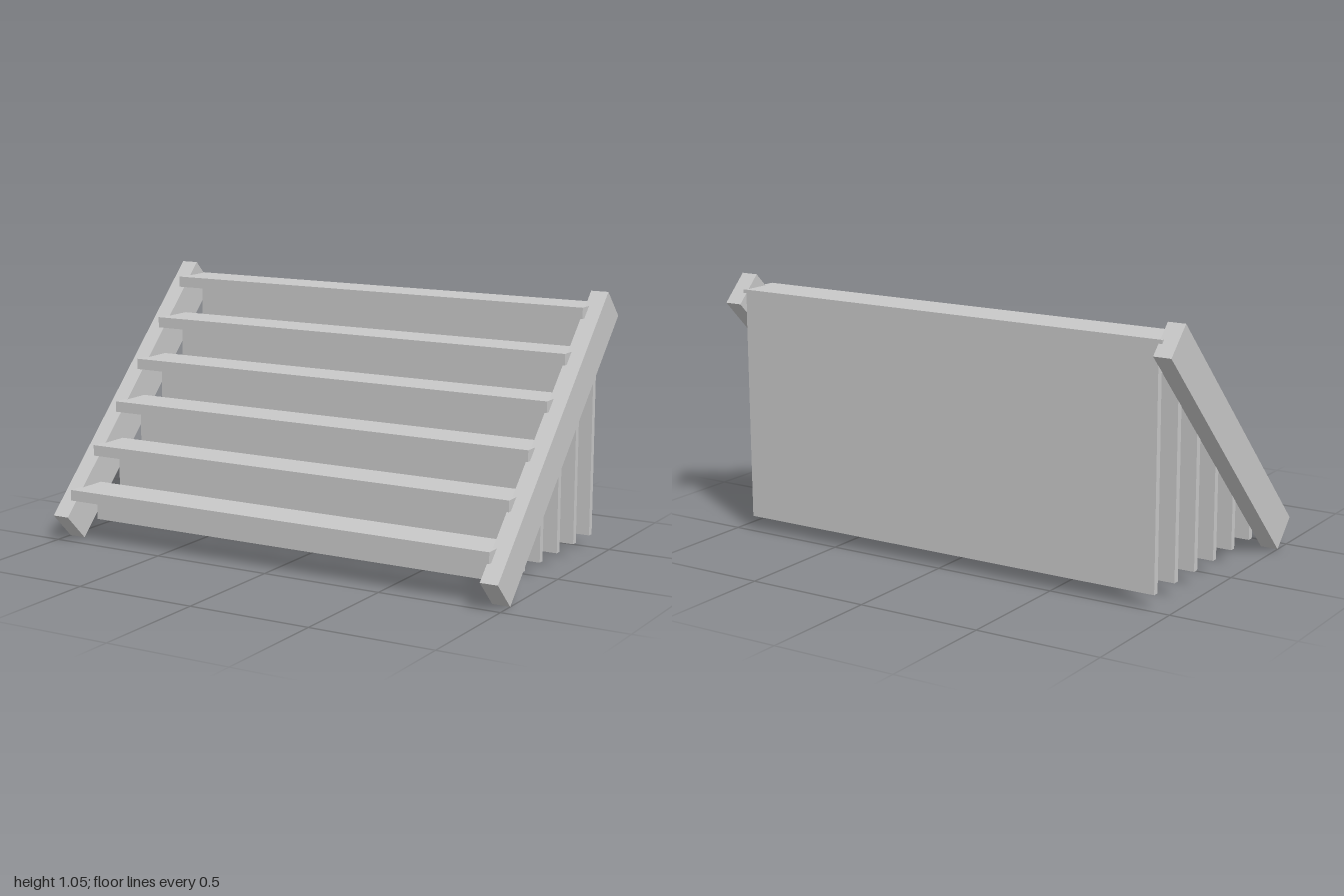
import * as THREE from 'three';

export function createModel() {
  const model = new THREE.Group();
  model.name = 'staircase';
  const grey = new THREE.MeshStandardMaterial({ color: 0xc8c8c8 });
  grey.name = 'light grey';

  const box = (name, w, y0, y1, z0, z1) => {
    const mesh = new THREE.Mesh(new THREE.BoxGeometry(w, y1 - y0, z1 - z0), grey);
    mesh.name = name;
    mesh.position.set(0, (y0 + y1) / 2, (z0 + z1) / 2);
    model.add(mesh);
  };

  // Sloping side beams at 45 degrees
  for (const side of [1, -1]) {
    const beam = new THREE.Mesh(new THREE.BoxGeometry(0.072, 0.15, 1.334), grey);
    beam.name = side > 0 ? 'leftStringer' : 'rightStringer';
    beam.position.set(side * 0.964, 0.525, 0);
    beam.rotation.x = Math.PI / 4;
    model.add(beam);
  }

  // Treads, each with a tall riser panel reaching down under its back edge
  const step = 0.1573, thick = 0.044, depth = 0.18;
  for (let i = 0; i < 6; i++) {
    const top = 0.211 + i * step;
    const front = 0.481 - i * step;
    box('tread' + (i + 1), 1.886, top - thick, top, front - depth, front);
    box('riser' + (i + 1), 1.858, 0.058, top - thick, front - depth, front - depth + 0.026);
  }
  return model;
}
